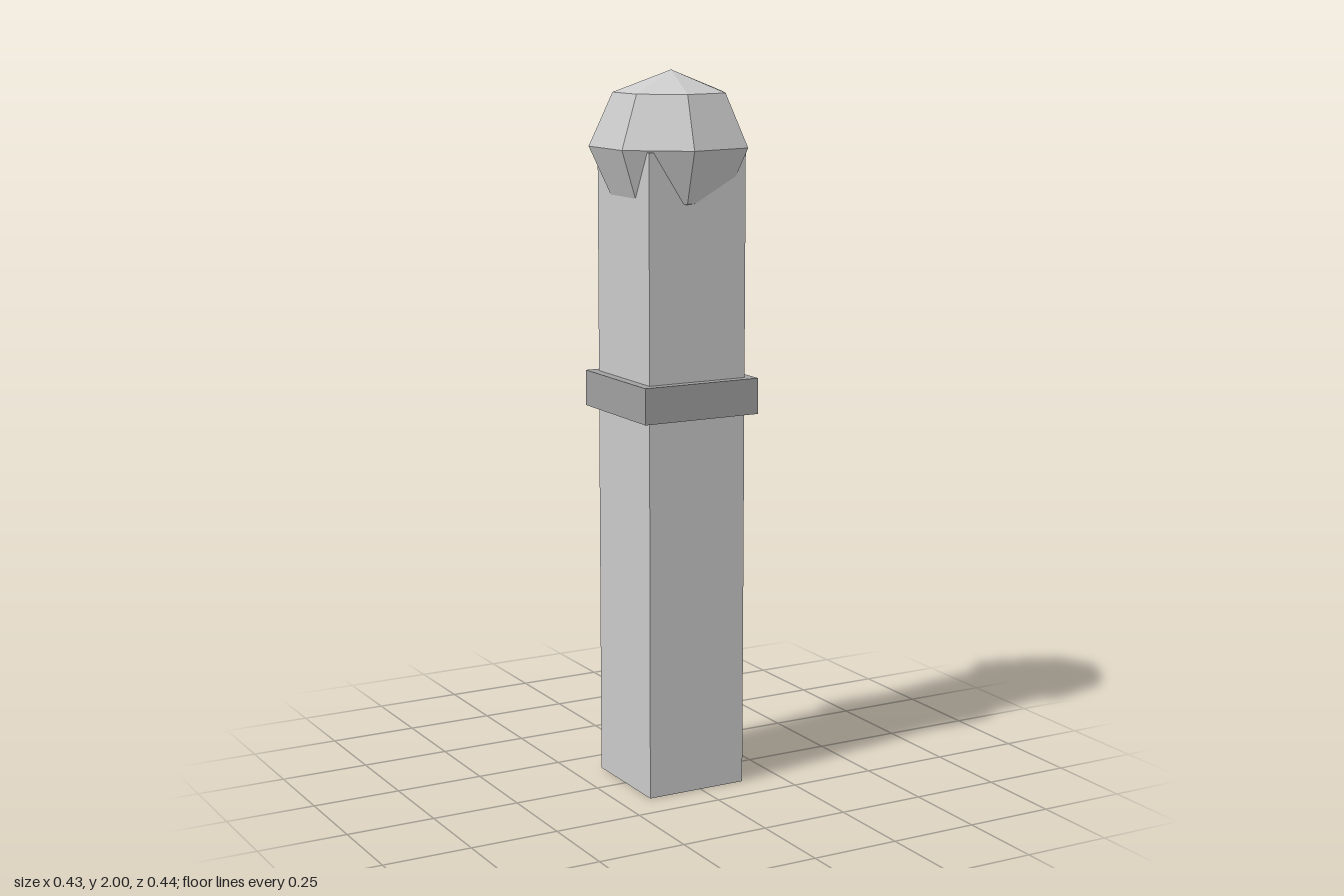
import * as THREE from 'three';

export function createModel() {
  const model = new THREE.Group();
  model.name = 'bollard';

  const paleGrey = new THREE.MeshStandardMaterial({ color: 0xcacaca });
  paleGrey.name = 'pale grey';
  const midGrey = new THREE.MeshStandardMaterial({ color: 0xa0a0a0 });
  midGrey.name = 'mid grey';

  const centreX = -0.012;

  function addPart(name, geometry, material, y) {
    const mesh = new THREE.Mesh(geometry, material);
    mesh.name = name;
    mesh.position.set(centreX, y, 0);
    model.add(mesh);
    return mesh;
  }

  // Square post, ending inside the cap
  const postHeight = 1.79;
  addPart('post', new THREE.BoxGeometry(0.297, postHeight, 0.297), paleGrey, postHeight / 2);

  // Collar around the middle
  addPart('collar', new THREE.BoxGeometry(0.352, 0.1, 0.352), midGrey, 1.115);

  // Seven-sided faceted ball cap, slightly flattened, one ridge towards +x
  const ball = new THREE.SphereGeometry(0.2245, 7, 4)
    .rotateY(Math.PI)
    .scale(1, 0.915, 1)
    .toNonIndexed();
  ball.computeVertexNormals();
  addPart('cap', ball, paleGrey, 1.795);

  return model;
}
